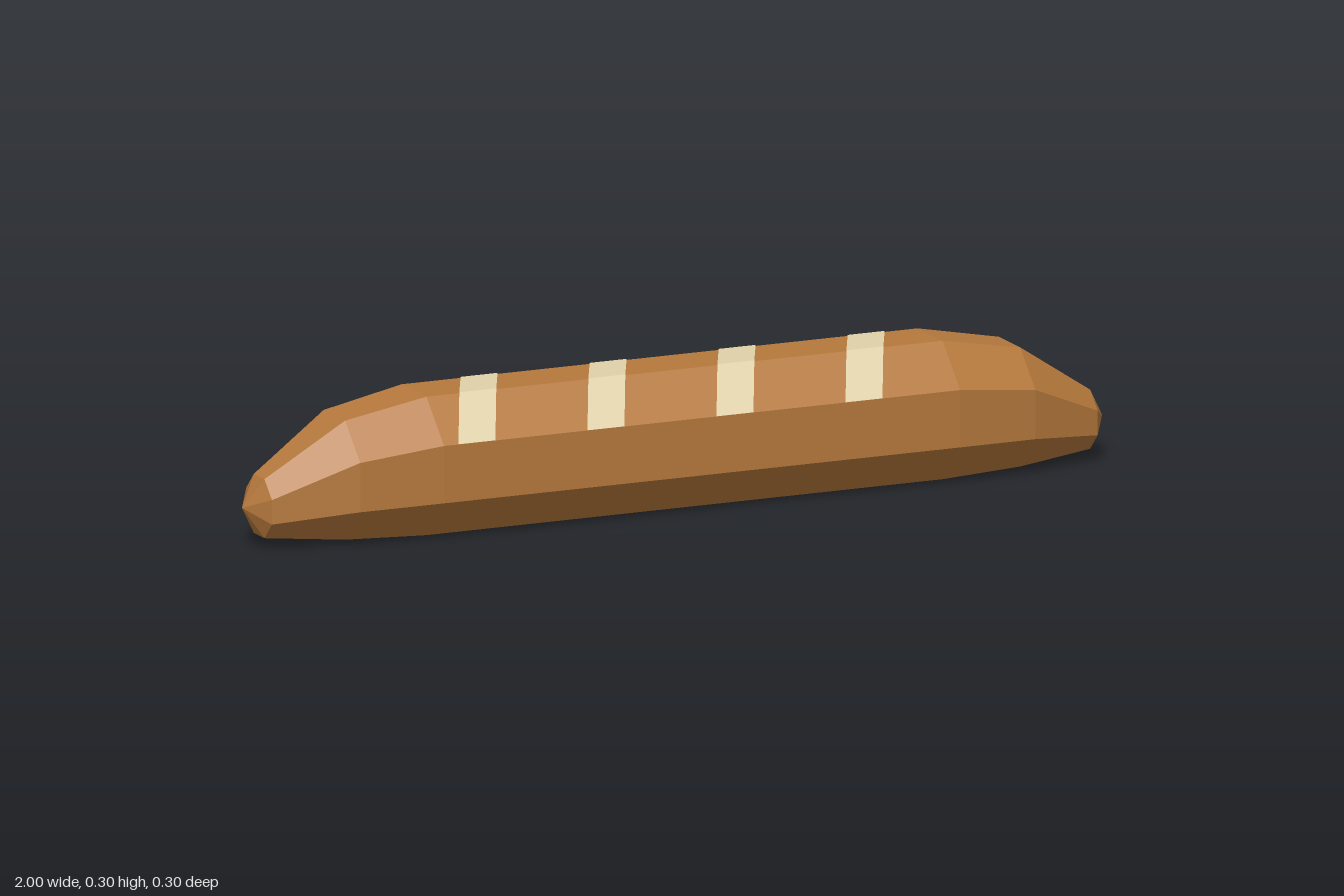
import * as THREE from 'three';

// Half of the loaf's profile: distance along x, flat-to-flat radius, height of the ring's centre
const RINGS = [
  [0.6, 0.15, 0.15],
  [0.785, 0.129, 0.136],
  [0.96, 0.064, 0.086],
  [1, 0, 0.086],
];
const SIDES = 8;

export function createModel() {
  const crust = new THREE.MeshStandardMaterial({ color: 0xb5783c, flatShading: true });
  crust.name = 'crust';
  const flour = new THREE.MeshStandardMaterial({ color: 0xded0a8, flatShading: true, side: THREE.DoubleSide });
  flour.name = 'score cream';

  const group = new THREE.Group();
  group.name = 'baguette';

  // Loaf: octagonal lathe laid along x, with each ring lifted to its own centre height
  const rings = [
    ...RINGS.map(([x, r, y]) => [-x, r, y]).reverse(),
    ...RINGS,
  ];
  const profile = rings.map(([x, r]) => new THREE.Vector2(r / Math.cos(Math.PI / SIDES), x));
  const loafGeometry = new THREE.LatheGeometry(profile, SIDES, Math.PI / SIDES);
  loafGeometry.rotateZ(-Math.PI / 2);
  const pos = loafGeometry.attributes.position;
  for (let i = 0; i < pos.count; i++) {
    pos.setY(i, pos.getY(i) + rings[i % rings.length][2]);
  }
  const loaf = new THREE.Mesh(loafGeometry, crust);
  loaf.name = 'loaf';
  group.add(loaf);

  // Score marks: slanted bands folded over the three upper facets, just above the crust
  const a = 0.152;
  const b = a * Math.tan(Math.PI / SIDES);
  const section = [[a, b], [b, a], [-b, a], [-a, b]]; // z, height above the loaf's axis
  const vertices = [];
  const index = [];
  section.forEach(([z, y], i) => {
    const slant = -0.49 * z;
    vertices.push(slant - 0.043, y, z, slant + 0.043, y, z);
    if (i) {
      const k = 2 * i;
      index.push(k - 2, k - 1, k, k - 1, k + 1, k);
    }
  });
  const scoreGeometry = new THREE.BufferGeometry();
  scoreGeometry.setAttribute('position', new THREE.Float32BufferAttribute(vertices, 3));
  scoreGeometry.setIndex(index);
  scoreGeometry.computeVertexNormals();

  for (let i = 0; i < 4; i++) {
    const score = new THREE.Mesh(scoreGeometry, flour);
    score.name = `scoreMark${i + 1}`;
    score.position.set(-0.45 + i * 0.3, 0.15, 0);
    group.add(score);
  }
  return group;
}
